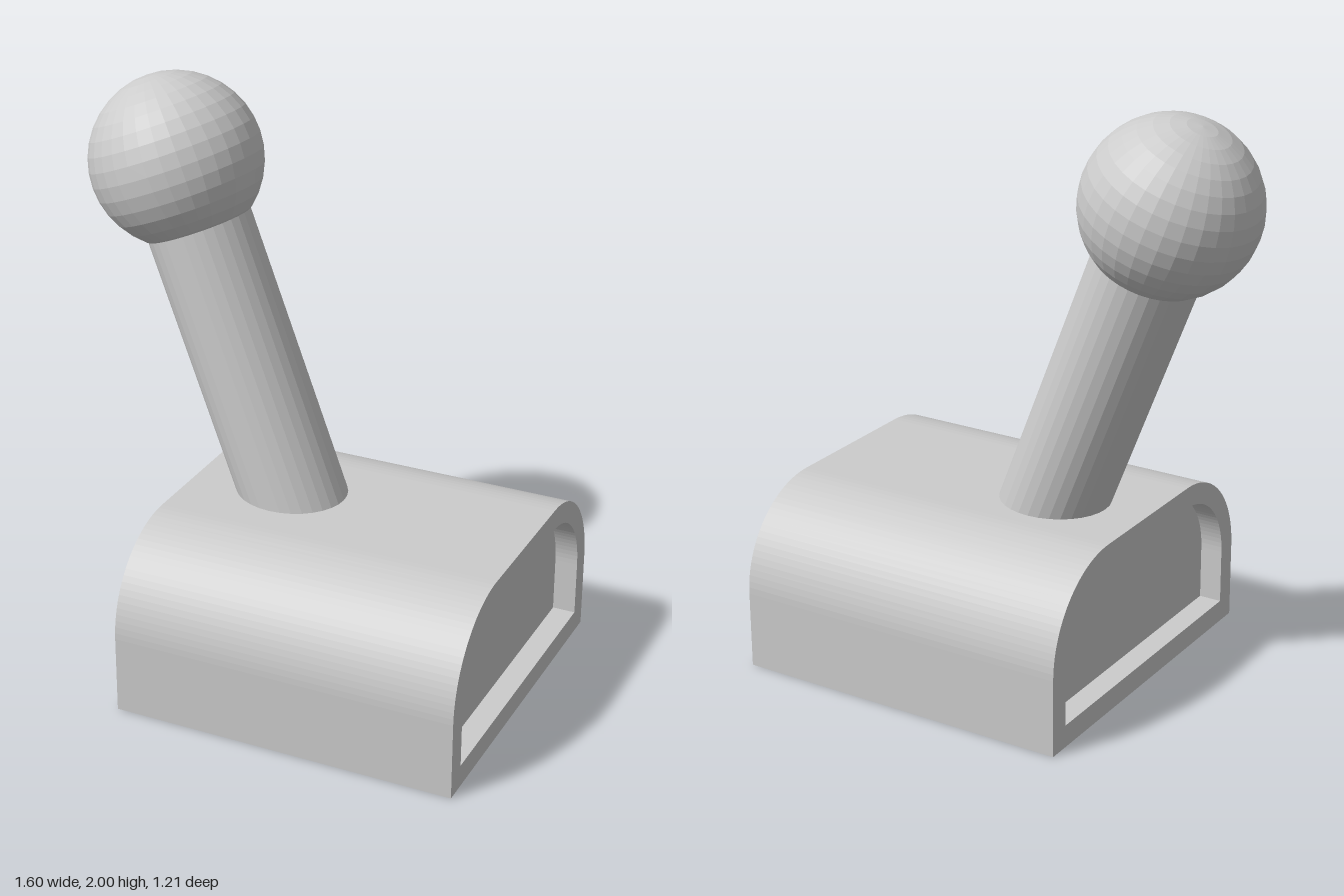
import * as THREE from 'three';

const material = new THREE.MeshStandardMaterial({ color: 0xcccccc, flatShading: true });

// Profile with a flat bottom and two rounded upper corners
function archProfile(Path, halfWidth, bottom, top, radius) {
  const p = new Path();
  p.moveTo(-halfWidth, bottom);
  p.lineTo(halfWidth, bottom);
  p.lineTo(halfWidth, top - radius);
  p.absarc(halfWidth - radius, top - radius, radius, 0, Math.PI / 2, false);
  p.lineTo(-halfWidth + radius, top);
  p.absarc(-halfWidth + radius, top - radius, radius, Math.PI / 2, Math.PI, false);
  p.closePath();
  return p;
}

// Extrude a profile along x between two positions
function extrudeAlongX(shape, x0, x1) {
  const g = new THREE.ExtrudeGeometry(shape, { depth: x1 - x0, bevelEnabled: false, curveSegments: 12 });
  return g.rotateY(Math.PI / 2).translate(x0, 0, 0);
}

export function createModel() {
  const model = new THREE.Group();
  model.name = 'lever';
  const add = (name, geometry, parent = model) => {
    const mesh = new THREE.Mesh(geometry, material);
    mesh.name = name;
    parent.add(mesh);
    return mesh;
  };

  // Base: a rounded housing with a shallow recess in each end
  const x0 = -0.405, x1 = 0.8, recess = 0.08;
  const housing = archProfile(THREE.Shape, 0.605, 0, 0.61, 0.34);
  housing.holes.push(archProfile(THREE.Path, 0.53, 0.078, 0.535, 0.265));
  add('housing', extrudeAlongX(housing, x0, x1));
  const core = archProfile(THREE.Shape, 0.53, 0.078, 0.535, 0.265);
  add('recessPanels', extrudeAlongX(core, x0 + recess, x1 - recess));

  // Tilted handle: shaft and ball share one axis
  const foot = new THREE.Vector3(-0.0625, 0.61, -0.03);
  const ballCentre = new THREE.Vector3(-0.512, 1.707, -0.087);
  const axis = ballCentre.clone().sub(foot);
  const length = axis.length(), buried = 0.15;
  const handle = new THREE.Group();
  handle.name = 'handle';
  handle.position.copy(foot);
  handle.quaternion.setFromUnitVectors(new THREE.Vector3(0, 1, 0), axis.normalize());
  model.add(handle);

  const shaft = new THREE.CylinderGeometry(0.18, 0.18, length + buried, 32);
  add('shaft', shaft.translate(0, (length - buried) / 2, 0), handle);
  add('ballKnob', new THREE.SphereGeometry(0.293, 32, 18).translate(0, length, 0), handle);

  return model;
}
